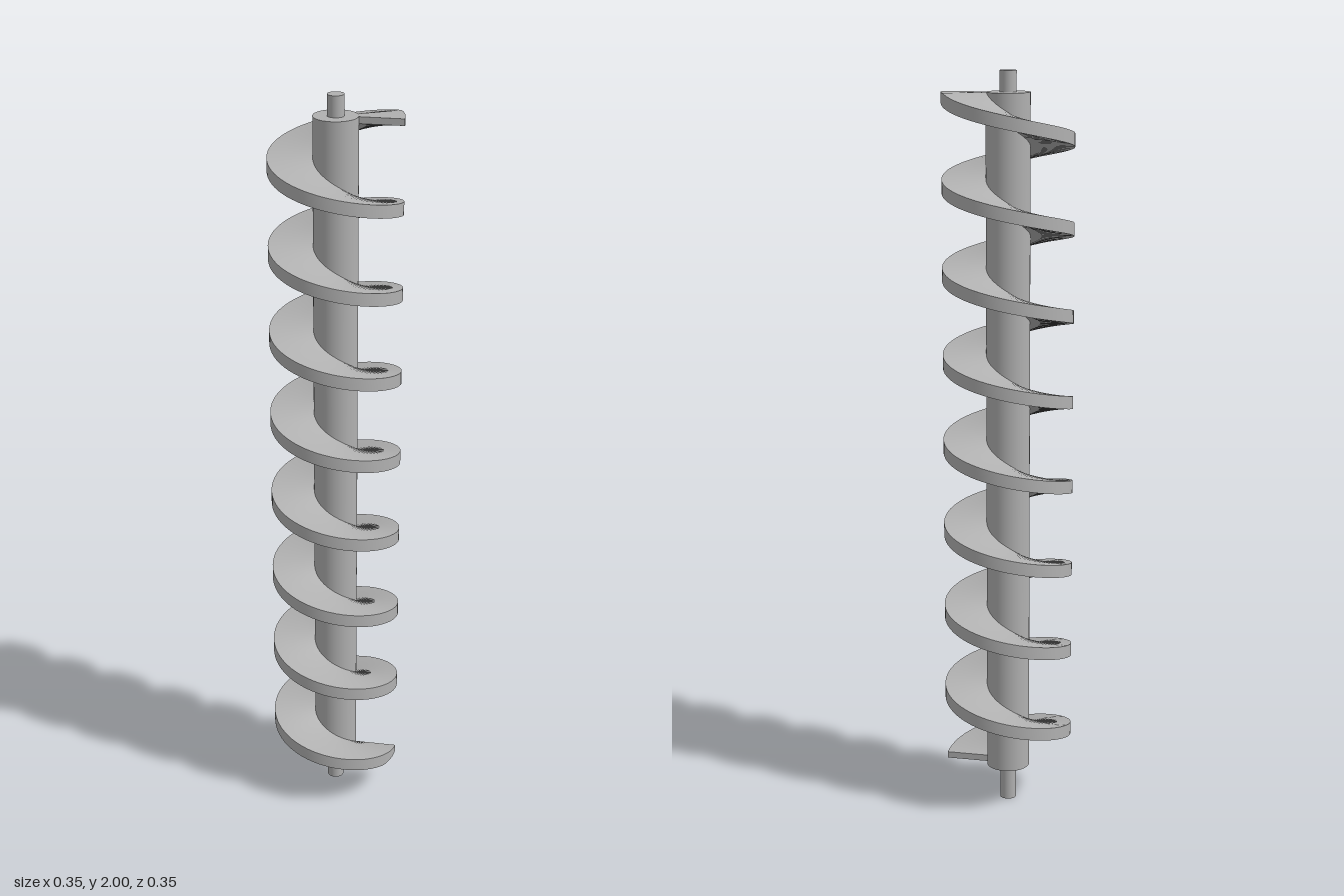
import * as THREE from 'three';

const BOTTOM = 0.098, TOP = 1.945;      // ends of the thick core
const CORE_R = 0.058, FLIGHT_R = 0.173, PIN_R = 0.022;
const TURNS = 8, STEPS = 64, HALF = 0.0175;

// Helical blade: a rectangular section swept round the core, cut flat at both ends
function flightGeometry() {
  const positions = [], index = [];
  const count = TURNS * STEPS;
  const section = (i) => {
    const a = (i / STEPS) * Math.PI * 2;
    const mid = BOTTOM + (TOP - BOTTOM) * (i / count);
    const hi = Math.min(TOP, mid + HALF), lo = Math.max(BOTTOM, mid - HALF);
    const at = (r, y) => [Math.cos(a) * r, y, Math.sin(a) * r];
    const inner = CORE_R - 0.001;
    return [at(inner, hi), at(FLIGHT_R, hi), at(FLIGHT_R, lo), at(inner, lo)];
  };
  // Top, rim and underside are separate strips so their shared edges stay sharp
  for (let s = 0; s < 3; s++) {
    const base = positions.length / 3;
    for (let i = 0; i <= count; i++) {
      const c = section(i);
      positions.push(...c[s], ...c[s + 1]);
      if (i < count) {
        const k = base + i * 2;
        index.push(k, k + 2, k + 1, k + 1, k + 2, k + 3);
      }
    }
  }
  // End faces
  for (const corners of [section(0), section(count).reverse()]) {
    const k = positions.length / 3;
    positions.push(...corners.flat());
    index.push(k, k + 1, k + 2, k, k + 2, k + 3);
  }
  const geometry = new THREE.BufferGeometry();
  geometry.setAttribute('position', new THREE.Float32BufferAttribute(positions, 3));
  geometry.setIndex(index);
  geometry.computeVertexNormals();
  return geometry;
}

export function createModel() {
  const group = new THREE.Group();
  group.name = 'screwConveyor';
  const steel = new THREE.MeshStandardMaterial({ color: 0xb0b0b0 });
  steel.name = 'steel grey';

  const add = (name, geometry, y = 0) => {
    const mesh = new THREE.Mesh(geometry, steel);
    mesh.name = name;
    mesh.position.y = y;
    group.add(mesh);
  };
  const rod = (name, r, y0, y1) =>
    add(name, new THREE.CylinderGeometry(r, r, y1 - y0, 64), (y0 + y1) / 2);

  // Core tube with a thin journal at each end
  rod('core', CORE_R, BOTTOM, TOP);
  rod('lowerJournal', PIN_R, 0, BOTTOM);
  rod('upperJournal', PIN_R, TOP, 2);
  add('helicalFlight', flightGeometry());
  return group;
}
